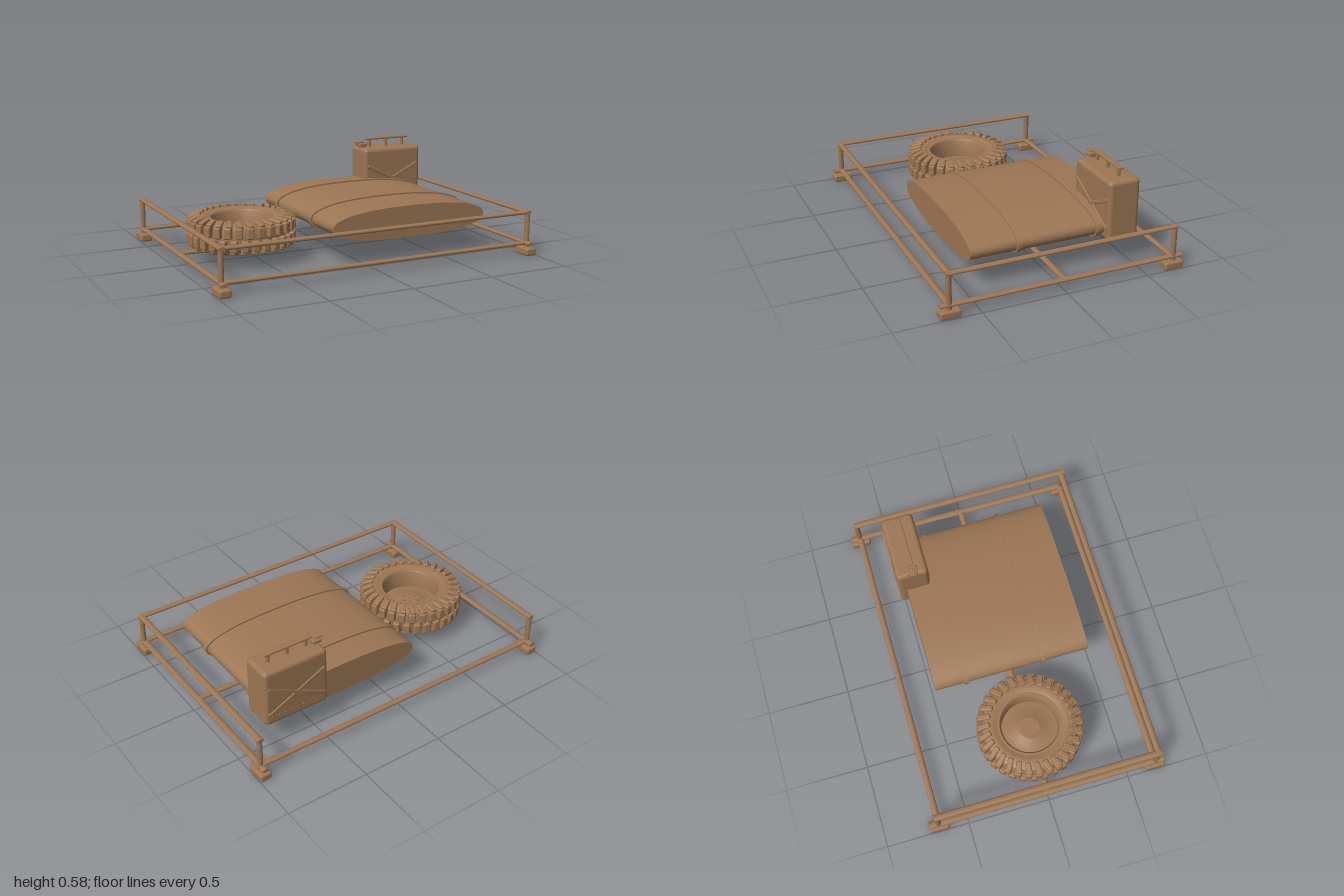
import * as THREE from 'three';
import { toCreasedNormals } from 'three/addons/utils/BufferGeometryUtils.js';
import { RoundedBoxGeometry } from 'three/addons/geometries/RoundedBoxGeometry.js';

const brown = new THREE.MeshStandardMaterial({ color: 0x9c7654 });
brown.name = 'brown';

function add(parent, name, geometry, x = 0, y = 0, z = 0) {
  const mesh = new THREE.Mesh(geometry, brown);
  mesh.name = name;
  mesh.position.set(x, y, z);
  parent.add(mesh);
  return mesh;
}

function group(parent, name, x = 0, y = 0, z = 0) {
  const g = new THREE.Group();
  g.name = name;
  g.position.set(x, y, z);
  parent.add(g);
  return g;
}

const rounded = (w, h, d, r) => new RoundedBoxGeometry(w, h, d, 2, r);
const cylinder = (r, h, sides = 16) => new THREE.CylinderGeometry(r, r, h, sides);
const lathe = (points, sides = 56) => toCreasedNormals(
  new THREE.LatheGeometry(points.map(([r, y]) => new THREE.Vector2(r, y)), sides), 0.6);

// Slightly flattened tubes: wide sideways, thin in height
const railX = (length) => cylinder(0.5, length, 12).rotateZ(Math.PI / 2).scale(1, 0.023, 0.037);
const railZ = (length) => cylinder(0.5, length, 12).rotateX(Math.PI / 2).scale(0.04, 0.023, 1);

function buildFrame(root) {
  const frame = group(root, 'frame');
  for (const sx of [-1, 1]) {
    add(frame, 'lowerSideRail', railZ(1.46), sx * 0.965, 0.07, 0);
    add(frame, 'upperSideRail', railZ(1.385), sx * 0.965, 0.255, 0);
    for (const sz of [-1, 1]) {
      add(frame, 'cornerPost', cylinder(0.5, 0.215, 12).scale(0.03, 1, 0.034), sx * 0.967, 0.152, sz * 0.677);
      add(frame, 'foot', rounded(0.07, 0.047, 0.12, 0.012), sx * 0.965, 0.0235, sz * 0.675);
    }
  }
  for (const sz of [-1, 1]) add(frame, 'lowerCrossRail', railX(1.93), 0, 0.07, sz * 0.675);
  add(frame, 'upperFrontRail', railX(1.95), 0, 0.255, 0.675);
  add(frame, 'middleRail', railX(1.93), 0, 0.07, 0);
}

// Outline of the tank, a fat ellipse
function tankShape(a, b) {
  const points = [];
  const n = 64, e = 2 / 2.35;
  for (let i = 0; i < n; i++) {
    const t = (i / n) * Math.PI * 2, c = Math.cos(t), s = Math.sin(t);
    points.push(new THREE.Vector2(a * Math.sign(c) * Math.abs(c) ** e, b * Math.sign(s) * Math.abs(s) ** e));
  }
  return new THREE.Shape(points);
}

function extrudeCentred(shape, depth, steps = 1) {
  return new THREE.ExtrudeGeometry(shape, { depth, steps, bevelEnabled: false }).translate(0, 0, -depth / 2);
}

function buildTank(root) {
  const tank = group(root, 'tank', 0.285, 0.23, 0);
  const body = extrudeCentred(tankShape(0.503, 0.101), 0.96, 8);
  // Swell the body a little towards its middle
  const p = body.attributes.position;
  for (let i = 0; i < p.count; i++) p.setY(i, p.getY(i) * (1 - 0.06 * (p.getZ(i) / 0.48) ** 2));
  add(tank, 'tankBody', toCreasedNormals(body, 0.6));
  for (const z of [-0.29, 0.193]) {
    add(tank, 'strap', toCreasedNormals(extrudeCentred(tankShape(0.515, 0.109), 0.026), 0.6), 0, 0, z);
  }
}

function buildCan(root) {
  const can = group(root, 'fuelCan', 0.625, 0, -0.43);
  add(can, 'canBody', rounded(0.41, 0.362, 0.194, 0.025), 0, 0.34, 0);
  // Pressed cross and rivets on both broad faces
  for (const side of [-1, 1]) {
    for (const tilt of [-1, 1]) {
      const rib = add(can, 'crossRib', rounded(0.41, 0.022, 0.012, 0.005), 0, 0.32, side * 0.097);
      rib.rotation.z = tilt * 0.45;
    }
    for (let i = 0; i < 9; i++) {
      add(can, 'rivet', new THREE.SphereGeometry(0.005, 8, 6), -0.16 + i * 0.04, 0.215, side * 0.097);
    }
  }
  // Carrying handle
  add(can, 'handleBar', rounded(0.31, 0.013, 0.036, 0.005), 0, 0.573, 0);
  for (const x of [-0.122, 0, 0.122]) add(can, 'handlePost', cylinder(0.011, 0.06, 12), x, 0.542, 0);
  // Spout and cap
  add(can, 'spout', cylinder(0.022, 0.04), -0.178, 0.53, 0);
  add(can, 'cap', rounded(0.055, 0.022, 0.068, 0.006), -0.182, 0.54, 0);
  add(can, 'capLatch', rounded(0.05, 0.01, 0.036, 0.004), -0.2, 0.555, 0);
}

function buildWheel(root) {
  const wheel = group(root, 'wheel', -0.58, 0.178, 0);
  add(wheel, 'tyre', lathe([
    [0.185, -0.07], [0.215, -0.083], [0.25, -0.082], [0.28, -0.065], [0.29, -0.04], [0.29, 0.04],
    [0.28, 0.065], [0.25, 0.082], [0.215, 0.083], [0.185, 0.07], [0.185, -0.07],
  ]));
  // Rim barrel and dished disc
  add(wheel, 'rim', lathe([
    [0.17, -0.072], [0.195, -0.075], [0.195, 0.075], [0.18, 0.075], [0.17, 0.06], [0.17, -0.072],
  ]));
  add(wheel, 'disc', lathe([
    [0, -0.045], [0.07, -0.045], [0.1, -0.06], [0.175, -0.06], [0.175, -0.045], [0.1, -0.045],
    [0.075, -0.03], [0, -0.03],
  ]));
  add(wheel, 'hub', cylinder(0.06, 0.035, 24), 0, -0.037, 0);
  for (let i = 0; i < 6; i++) {
    const a = (i / 6) * Math.PI * 2;
    add(wheel, 'wheelBolt', cylinder(0.008, 0.048, 6), Math.cos(a) * 0.045, -0.037, Math.sin(a) * 0.045);
  }
  // Two staggered rows of tread blocks, each with a shoulder lug
  const count = 30;
  const block = rounded(0.05, 0.066, 0.043, 0.009);
  const lug = rounded(0.075, 0.03, 0.034, 0.009);
  for (const side of [-1, 1]) {
    for (let i = 0; i < count; i++) {
      const a = ((i + (side > 0 ? 0.5 : 0)) / count) * Math.PI * 2;
      const tread = group(wheel, 'tread');
      tread.rotation.y = a;
      add(tread, 'treadBlock', block, 0.294, side * 0.038, 0);
      const shoulder = add(tread, 'shoulderLug', lug, 0.272, side * 0.078, 0);
      shoulder.rotation.set(0, side * 0.25, -side * 0.22);
    }
  }
}

export function createModel() {
  const root = new THREE.Group();
  root.name = 'cargoRack';
  buildFrame(root);
  buildTank(root);
  buildCan(root);
  buildWheel(root);
  return root;
}
